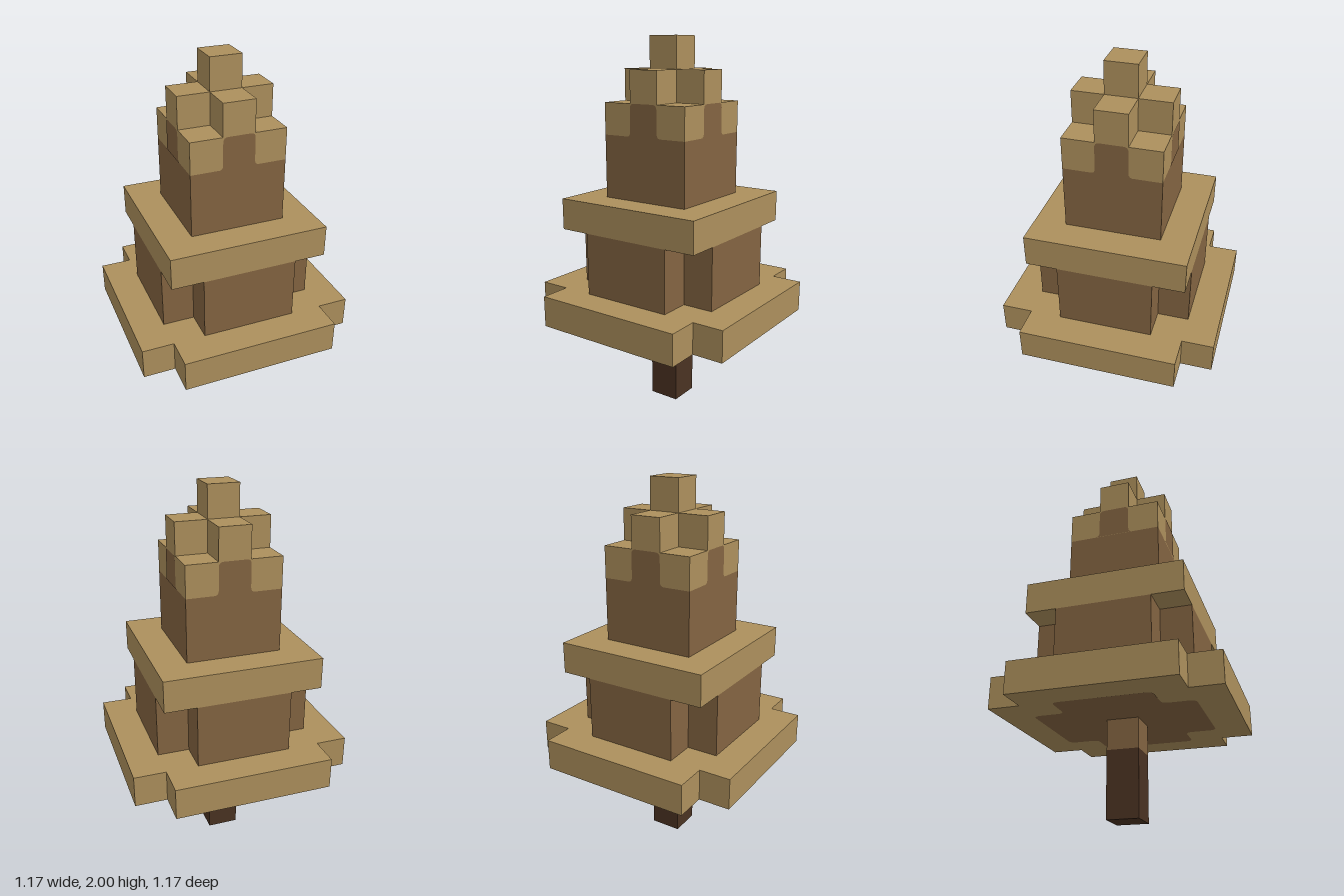
import * as THREE from 'three';

const U = 1 / 6; // edge of one block

export function createModel() {
  const tan = new THREE.MeshStandardMaterial({ color: 0xac8f5c });
  tan.name = 'tan leaf';
  const brown = new THREE.MeshStandardMaterial({ color: 0x836441 });
  brown.name = 'mid brown';
  const bark = new THREE.MeshStandardMaterial({ color: 0x4a3222 });
  bark.name = 'dark bark';

  const model = new THREE.Group();
  model.name = 'blockTree';

  const add = (name, geometry, material, parent = model) => {
    const mesh = new THREE.Mesh(geometry, material);
    mesh.name = name;
    parent.add(mesh);
    return mesh;
  };

  // Square tier, w blocks wide, between block heights y0 and y1
  const box = (name, w, y0, y1, material) => {
    const mesh = add(name, new THREE.BoxGeometry(w * U, (y1 - y0) * U, w * U), material);
    mesh.position.y = ((y0 + y1) / 2) * U;
  };

  // Outline of a square w blocks wide with one block missing at each corner
  const notched = (w) => {
    const o = (w / 2) * U, i = o - U;
    return [[o, -i], [o, i], [i, i], [i, o], [-i, o], [-i, i], [-o, i], [-o, -i],
      [-i, -i], [-i, -o], [i, -o], [i, -i]].map(([x, y]) => new THREE.Vector2(x, y));
  };

  const notchedTier = (name, w, y0, y1, material) => {
    const geometry = new THREE.ExtrudeGeometry(new THREE.Shape(notched(w)), {
      depth: (y1 - y0) * U, bevelEnabled: false,
    });
    geometry.rotateX(-Math.PI / 2);
    add(name, geometry, material).position.y = y0 * U;
  };

  // Shape through the points with every corner rounded by r
  const rounded = (points, r) => {
    const shape = new THREE.Shape();
    points.forEach((p, k) => {
      const before = points.at(k - 1), after = points[(k + 1) % points.length];
      const a = p.clone().add(before.clone().sub(p).setLength(r));
      const b = p.clone().add(after.clone().sub(p).setLength(r));
      if (k === 0) shape.moveTo(a.x, a.y);
      else shape.lineTo(a.x, a.y);
      shape.quadraticCurveTo(p.x, p.y, b.x, b.y);
    });
    shape.closePath();
    return shape;
  };

  // Trunk
  box('trunk', 1, 0, 2.05, bark);
  box('upperTrunk', 1, 2.05, 3, brown);

  // Lower branches, with a darker patch on the underside
  notchedTier('lowerBranches', 7, 3, 4, tan);
  const patch = add('undersidePatch', new THREE.ShapeGeometry(rounded(notched(5), 0.035), 4), brown);
  patch.rotation.x = Math.PI / 2;
  patch.position.y = 3 * U - 0.002;

  // Middle of the tree
  notchedTier('lowerCore', 5, 4, 6, brown);
  box('upperBranches', 5, 6, 7, tan);
  box('upperCore', 3, 7, 9, brown);

  // Stepped crown
  box('crownBase', 3, 9, 10, tan);
  notchedTier('crownStep', 3, 10, 11, tan);
  box('crownTip', 1, 11, 12, tan);

  // Brown tongue rising into the crown on each of the four sides
  const h = U / 2, r = 0.025;
  const tongue = new THREE.Shape();
  tongue.moveTo(-h - r, 0);
  tongue.lineTo(h + r, 0);
  tongue.quadraticCurveTo(h, 0, h, r);
  tongue.lineTo(h, U - r);
  tongue.quadraticCurveTo(h, U, h - r, U);
  tongue.lineTo(-h + r, U);
  tongue.quadraticCurveTo(-h, U, -h, U - r);
  tongue.lineTo(-h, r);
  tongue.quadraticCurveTo(-h, 0, -h - r, 0);
  const tongueGeometry = new THREE.ShapeGeometry(tongue, 4);
  tongueGeometry.translate(0, 9 * U, 1.5 * U + 0.002);
  const tongues = new THREE.Group();
  tongues.name = 'crownTongues';
  model.add(tongues);
  for (let k = 0; k < 4; k++) {
    add('crownTongue', tongueGeometry, brown, tongues).rotation.y = (k * Math.PI) / 2;
  }

  return model;
}
